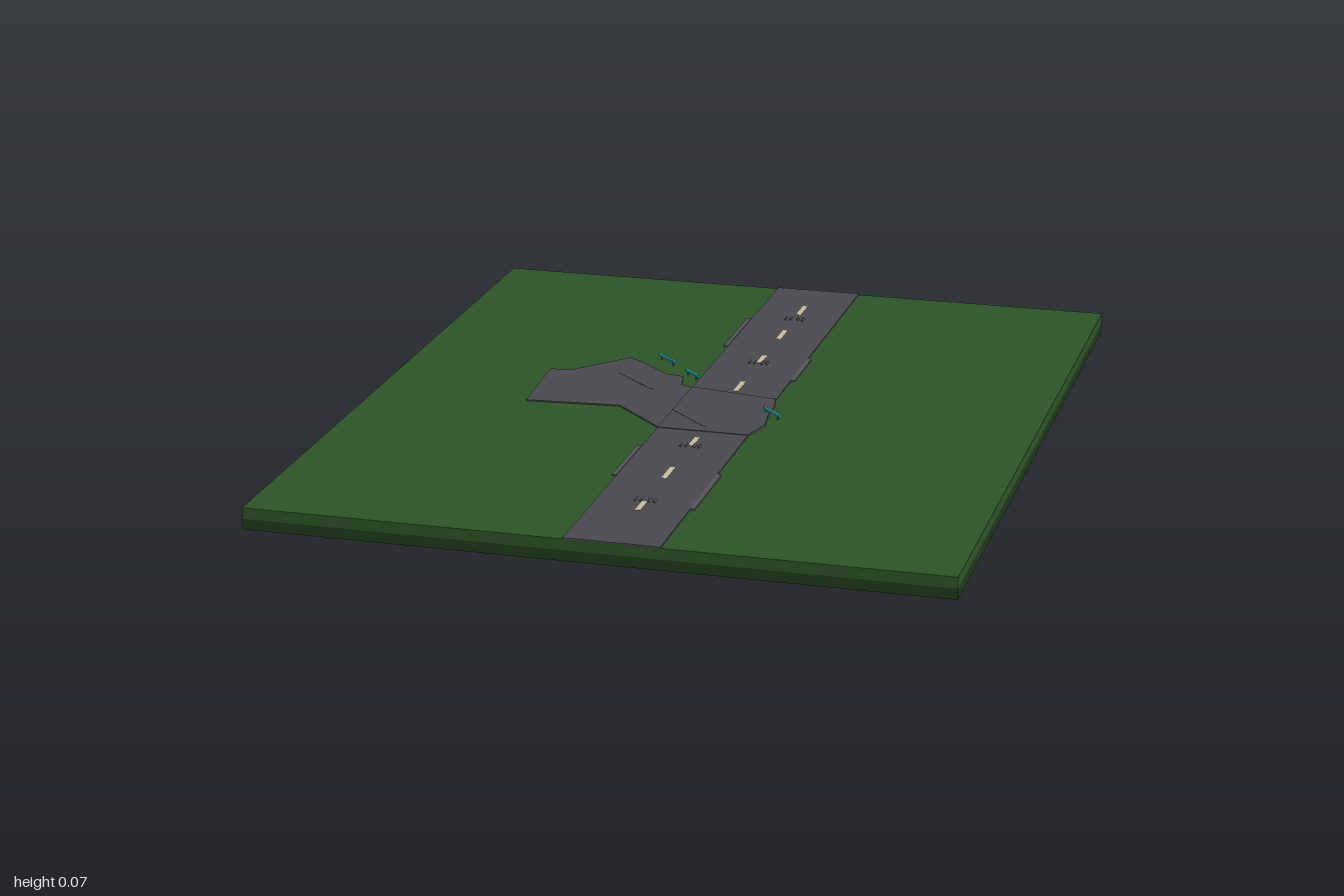
import * as THREE from 'three';

const paint = (color) => new THREE.MeshStandardMaterial({ color });

export function createModel() {
  const model = new THREE.Group();
  const grass = paint(0x2d5427), soil = paint(0x1f3a1b), asphalt = paint(0x4a4950);
  const seam = paint(0x56555a), cream = paint(0xc8be9b), teal = paint(0x2fa8a8);
  const TOP = 0.053, ROAD = 0.056, MID = 0.048;

  // Box from its centre, standing on height y
  function box(name, mat, w, h, d, x, y, z, turn = 0) {
    const mesh = new THREE.Mesh(new THREE.BoxGeometry(w, h, d), mat);
    mesh.name = name;
    mesh.position.set(x, y + h / 2, z);
    mesh.rotation.y = turn;
    model.add(mesh);
    return mesh;
  }

  // Thin bar on the ground between two points [x, z]
  function bar(name, mat, a, b, thick, y, h) {
    const dx = b[0] - a[0], dz = b[1] - a[1];
    box(name, mat, Math.hypot(dx, dz), h, thick, (a[0] + b[0]) / 2, y, (a[1] + b[1]) / 2, -Math.atan2(dz, dx));
  }

  // Flat slab with an outline of [x, z] points
  function slab(name, mat, points, y, h) {
    const shape = new THREE.Shape(points.map(([x, z]) => new THREE.Vector2(x, -z)));
    const geo = new THREE.ExtrudeGeometry(shape, { depth: h, bevelEnabled: false });
    geo.rotateX(-Math.PI / 2);
    const mesh = new THREE.Mesh(geo, mat);
    mesh.name = name;
    mesh.position.y = y;
    model.add(mesh);
  }

  // Ground in two layers
  box('soilLayer', soil, 1.666, 0.026, 2, 0, 0, 0);
  box('grassLayer', grass, 1.666, TOP - 0.026, 2, 0, 0.026, 0);

  // Main road
  box('mainRoad', asphalt, 0.227, ROAD - TOP, 2, MID, TOP, 0);

  // Side road with its flared junction
  slab('sideRoad', asphalt, [
    [-0.457, -0.15], [-0.4, -0.16], [-0.285, -0.293], [-0.245, -0.268], [-0.16, -0.188],
    [-0.11, -0.178], [-0.098, -0.115], [-0.06, -0.095], [-0.06, 0.222], [-0.203, 0.083], [-0.44, 0.103],
  ], TOP, ROAD - TOP);
  slab('junctionPatch', asphalt, [
    [-0.066, -0.1], [0.161, -0.06], [0.172, 0], [0.172, 0.06], [0.183, 0.135], [0.161, 0.222], [-0.066, 0.222],
  ], TOP, ROAD - TOP + 0.0015);

  // Seams across the side road
  bar('roadSeam', seam, [-0.277, -0.167], [-0.161, -0.061], 0.006, ROAD, 0.001);
  bar('roadSeam', seam, [-0.066, 0.082], [0.045, 0.188], 0.006, ROAD, 0.0025);

  // Worn shoulders: [x, z start, z end]
  for (const [x, a, b] of [[-0.0715, -0.7, -0.45], [-0.0715, 0.36, 0.575], [0.1665, -0.4, -0.215], [0.1665, 0.51, 0.75]])
    box('shoulder', seam, 0.011, 0.004, b - a, x, TOP, (a + b) / 2);

  // Centre line dashes: [z, length]
  for (const [z, len] of [[-0.805, 0.08], [-0.58, 0.08], [-0.365, 0.06], [-0.135, 0.08], [0.3, 0.06], [0.53, 0.08], [0.76, 0.06]])
    box('centreDash', cream, 0.013, 0.001, len, MID, ROAD, z);

  // Groups of small leaning studs on the centre line
  for (const z of [-0.72, -0.33, 0.335, 0.725])
    for (const side of [-1, 1])
      for (const offset of [0.01, 0.023]) {
        const stud = box('roadStud', seam, 0.004, 0.006, 0.018, MID + side * offset, ROAD, z);
        stud.rotation.z = side * 0.5;
      }

  // Teal guide rails on short posts
  for (const [a, b] of [[[-0.213, -0.314], [-0.152, -0.256]], [[-0.112, -0.208], [-0.066, -0.16]], [[0.155, 0.035], [0.209, 0.088]]]) {
    bar('guideRail', teal, a, b, 0.007, 0.062, 0.006);
    for (const t of [0.15, 0.85])
      box('railPost', seam, 0.004, 0.01, 0.004, a[0] + (b[0] - a[0]) * t, TOP, a[1] + (b[1] - a[1]) * t);
  }

  return model;
}
